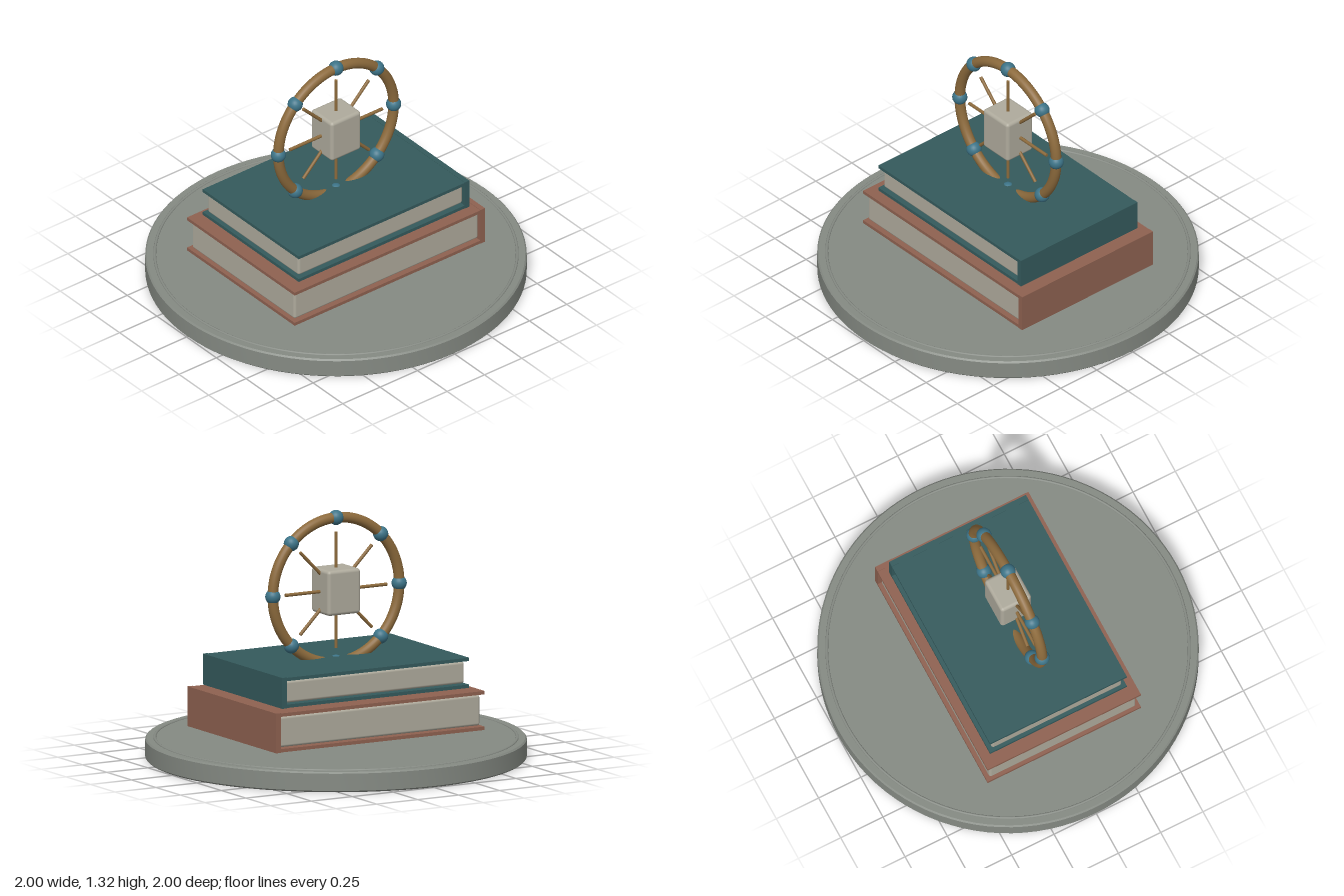
import * as THREE from 'three';
import { RoundedBoxGeometry } from 'three/addons/geometries/RoundedBoxGeometry.js';
import { toCreasedNormals } from 'three/addons/utils/BufferGeometryUtils.js';

const paint = (color) => new THREE.MeshStandardMaterial({ color });
const stone = paint(0x858a83);
const paper = paint(0xaeaa9c);
const wood = paint(0x8c6a3c);
const bead = paint(0x3d7488);
const teal = paint(0x345a5c);
const leather = paint(0x8e6150);

function add(parent, name, geometry, material, x = 0, y = 0, z = 0) {
  const mesh = new THREE.Mesh(geometry, material);
  mesh.name = name;
  mesh.position.set(x, y, z);
  parent.add(mesh);
  return mesh;
}

// Block given by its limits in x and y and its half depth in z
function block(parent, name, x0, x1, y0, y1, halfZ, material, radius = 0) {
  const size = [x1 - x0, y1 - y0, halfZ * 2];
  const geometry = radius
    ? new RoundedBoxGeometry(...size, 3, radius)
    : new THREE.BoxGeometry(...size);
  return add(parent, name, geometry, material, (x0 + x1) / 2, (y0 + y1) / 2, 0);
}

// Closed book lying flat, with its spine on the +x side
function makeBook(name, halfX, halfZ, y0, y1, material) {
  const book = new THREE.Group();
  book.name = name;
  const board = 0.02;
  block(book, 'bottomCover', -halfX, halfX - 0.01, y0 + 0.002, y0 + board, halfZ, material);
  block(book, 'topCover', -halfX, halfX - 0.01, y1 - board, y1 - 0.002, halfZ, material);
  block(book, 'spine', halfX - 0.03, halfX, y0, y1, halfZ, material);
  block(book, 'pages', -halfX + 0.015, halfX - 0.027, y0 + board + 0.004, y1 - board - 0.004,
    halfZ - 0.02, paper, 0.014);
  return book;
}

// Rim with beads, hub and spokes that stop short of the rim
function makeWheel() {
  const wheel = new THREE.Group();
  wheel.name = 'wheel';
  const rimRadius = 0.386;
  add(wheel, 'rim', new THREE.TorusGeometry(rimRadius, 0.028, 20, 96), wood);
  add(wheel, 'hub', new RoundedBoxGeometry(0.2, 0.24, 0.18, 4, 0.018), paper);
  const beadGeometry = new THREE.SphereGeometry(0.04, 24, 16);
  const spokeGeometry = new THREE.CylinderGeometry(0.009, 0.009, 0.26, 12);
  for (let i = 0; i < 8; i++) {
    const angle = (i * Math.PI) / 4;
    const c = Math.cos(angle), s = Math.sin(angle);
    add(wheel, 'bead', beadGeometry, bead, rimRadius * c, rimRadius * s);
    const spoke = add(wheel, 'spoke', spokeGeometry, wood, 0.18 * c, 0.18 * s);
    spoke.rotation.z = angle - Math.PI / 2;
  }
  wheel.position.y = 0.893;
  return wheel;
}

export function createModel() {
  const model = new THREE.Group();
  model.name = 'wheelOnBooks';

  // Round plinth with softened edges and a thin raised ring
  const profile = [[0, 0], [0.992, 0], [1, 0.008], [1, 0.1], [0.992, 0.108], [0, 0.108]]
    .map(([x, y]) => new THREE.Vector2(x, y));
  add(model, 'plinth', toCreasedNormals(new THREE.LatheGeometry(profile, 96), 0.6), stone);
  const ring = add(model, 'plinthRing', new THREE.TorusGeometry(0.95, 0.008, 10, 96), stone, 0, 0.107);
  ring.rotation.x = Math.PI / 2;

  model.add(makeBook('lowerBook', 0.637, 0.453, 0.155, 0.367, leather));
  model.add(makeBook('upperBook', 0.571, 0.404, 0.378, 0.543, teal));
  model.add(makeWheel());
  return model;
}
